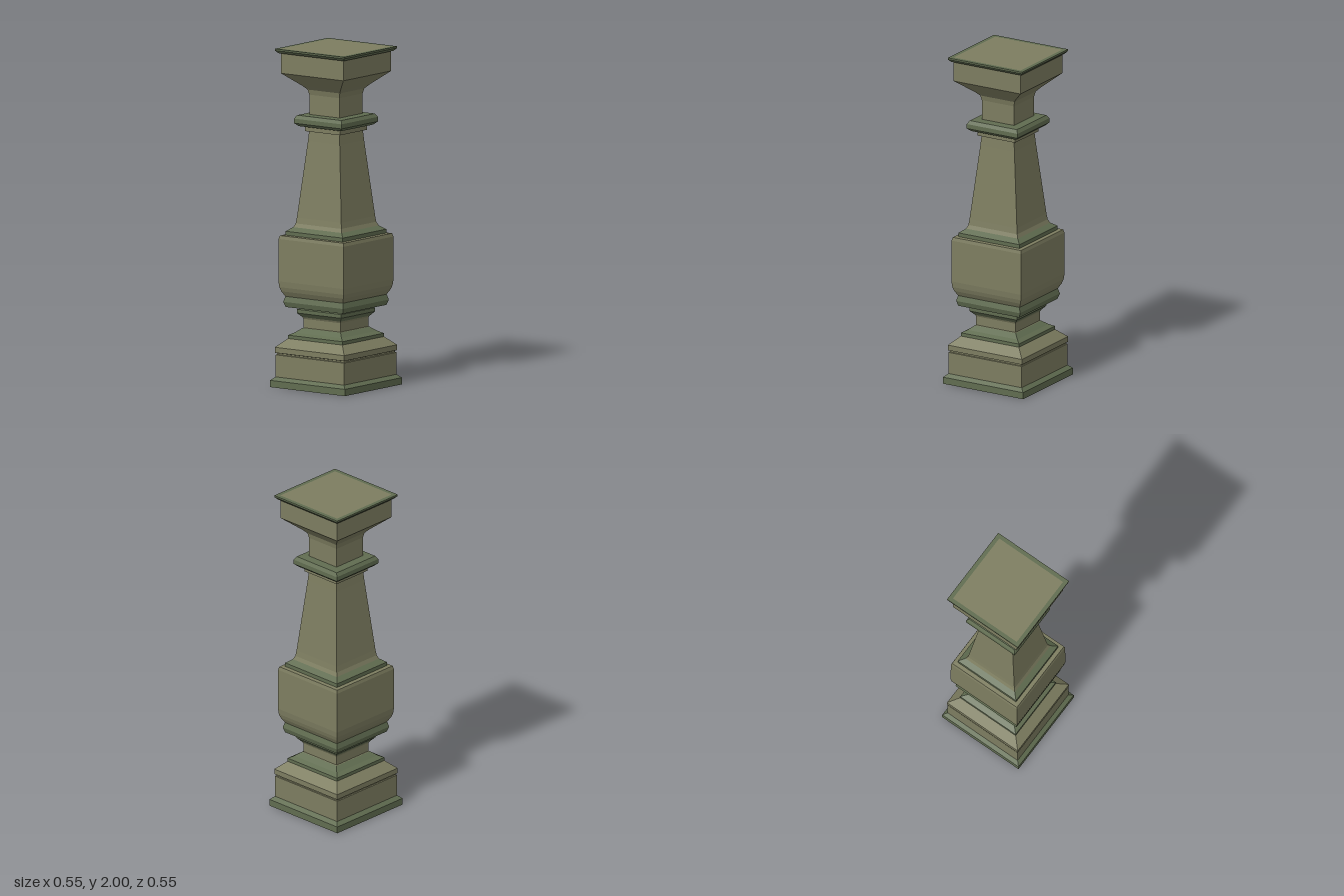
import * as THREE from 'three';

const stone = new THREE.MeshStandardMaterial({ color: 0x7d7d60, flatShading: true, side: THREE.DoubleSide });
const trim = new THREE.MeshStandardMaterial({ color: 0x606c50, flatShading: true, side: THREE.DoubleSide });

// Sweeps a [half width, height] profile around a square plan.
function squareTurned(name, material, profile) {
  const points = profile.map(([half, y]) => new THREE.Vector2(half * Math.SQRT2, y));
  const mesh = new THREE.Mesh(new THREE.LatheGeometry(points, 4, Math.PI / 4), material);
  mesh.name = name;
  return mesh;
}

export function createModel() {
  const baluster = new THREE.Group();
  baluster.name = 'squareBaluster';
  const add = (...args) => baluster.add(squareTurned(...args));

  // Hollow base, open underneath
  add('baseMoulding', trim, [[0.275, 0], [0.275, 0.04], [0.252, 0.06]]);
  add('plinth', stone, [[0.252, 0.06], [0.252, 0.19], [0.245, 0.192], [0.245, 0.2],
    [0.255, 0.203], [0.255, 0.235], [0.2, 0.285]]);
  add('plinthMoulding', trim, [[0.2, 0.285], [0.2, 0.305], [0.172, 0.32], [0.14, 0.345]]);

  // Lower neck and its fillet
  add('lowerNeck', stone, [[0.14, 0.345], [0.135, 0.347], [0.135, 0.4], [0.14, 0.41]]);
  add('neckFillet', trim, [[0.14, 0.41], [0.163, 0.435], [0.163, 0.457], [0.15, 0.46], [0.15, 0.47]]);

  // Swelling block
  add('lowerBodyMoulding', trim, [[0.15, 0.47], [0.21, 0.472], [0.22, 0.503], [0.211, 0.535]]);
  add('body', stone, [[0.211, 0.535], [0.228, 0.565], [0.236, 0.59], [0.24, 0.625],
    [0.239, 0.875], [0.234, 0.895], [0.21, 0.897]]);
  add('upperBodyMoulding', trim, [[0.21, 0.897], [0.21, 0.92], [0.178, 0.943]]);

  // Tapering shaft
  add('shaft', stone, [[0.178, 0.943], [0.168, 0.965], [0.163, 1.0], [0.117, 1.45], [0.112, 1.51],
    [0.13, 1.51], [0.13, 1.537]]);
  add('collar', trim, [[0.13, 1.537], [0.155, 1.54], [0.175, 1.558], [0.175, 1.585],
    [0.162, 1.605], [0.111, 1.608]]);

  // Upper neck and capital
  add('capital', stone, [[0.111, 1.608], [0.111, 1.725], [0.118, 1.755], [0.14, 1.778],
    [0.23, 1.855], [0.23, 1.972]]);
  add('capMoulding', trim, [[0.23, 1.972], [0.24, 1.974], [0.255, 1.99], [0.255, 2], [0.23, 2]]);
  add('topPanel', stone, [[0.23, 2], [0, 2]]);
  return baluster;
}
